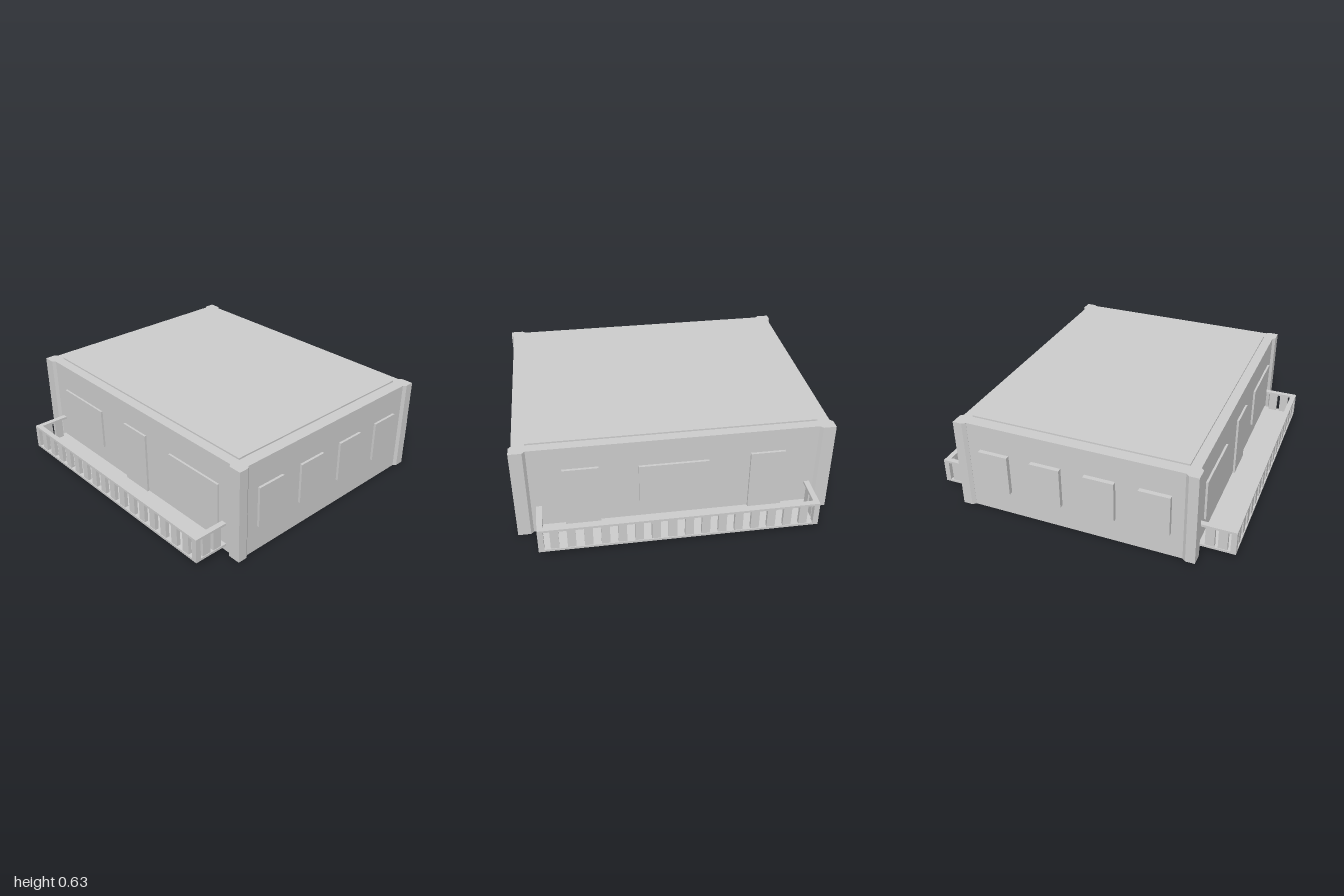
import * as THREE from 'three';

const material = new THREE.MeshStandardMaterial({ color: 0xcccccc, flatShading: true });

export function createModel() {
  const model = new THREE.Group();

  // Box given by its minimum and maximum on each axis
  function box(name, x0, x1, y0, y1, z0, z1, parent = model) {
    const mesh = new THREE.Mesh(new THREE.BoxGeometry(x1 - x0, y1 - y0, z1 - z0), material);
    mesh.name = name;
    mesh.position.set((x0 + x1) / 2, (y0 + y1) / 2, (z0 + z1) / 2);
    parent.add(mesh);
    return mesh;
  }

  // Main block and raised roof panel
  const X0 = -0.969, X1 = 0.975, Z = 0.768, H = 0.617;
  box('walls', X0, X1, 0, H, -Z, Z);
  box('roofPanel', -0.891, 0.896, H - 0.02, 0.627, -0.705, 0.703);

  // Corner pillars with chamfered returns into the walls
  for (const sx of [-1, 1]) {
    for (const sz of [-1, 1]) {
      const profile = [
        [0.989, 0.787], [0.908, 0.787], [0.891, 0.768], [0.891, 0.705],
        [0.972, 0.705], [0.989, 0.726],
      ].map(([x, z]) => new THREE.Vector2(sx * x + 0.002, -sz * z));
      const geometry = new THREE.ExtrudeGeometry(new THREE.Shape(profile), { depth: H, bevelEnabled: false });
      geometry.rotateX(-Math.PI / 2);
      const pillar = new THREE.Mesh(geometry, material);
      pillar.name = 'cornerPillar';
      model.add(pillar);
    }
  }

  // Front and back windows and doors, as shallow raised panels
  const sill = 0.17, windowTop = 0.442, doorTop = 0.463, floorTop = 0.052;
  const front = [Z - 0.02, 0.782], back = [-0.785, -Z + 0.02];
  box('frontWindow', -0.775, -0.342, sill, windowTop, ...front);
  box('frontWindow', 0.367, 0.805, sill, windowTop, ...front);
  box('frontDoor', -0.087, 0.135, floorTop, doorTop, ...front);
  box('backWindow', -0.205, 0.229, sill, windowTop, ...back);
  box('backDoor', -0.684, -0.466, floorTop, doorTop, ...back);
  box('backDoor', 0.472, 0.692, floorTop, doorTop, ...back);

  // Four windows along each side
  for (const z of [0.529, 0.18, -0.173, -0.525]) {
    box('rightWindow', -0.998, X0 + 0.02, sill, windowTop, z - 0.099, z + 0.099);
    box('leftWindow', X1 - 0.02, 0.991, sill, windowTop, z - 0.099, z + 0.099);
  }

  // Balcony with slatted railing, built at the front
  function balcony(name) {
    const group = new THREE.Group();
    group.name = name;
    const half = 0.864, rail = 0.035, low = 0.037, top = 0.2, under = 0.185;
    const slat = 0.052, inset = 0.005, thick = 0.025;
    box('floor', -half, half, low, floorTop, Z, 0.998, group);
    box('frontRail', -half, half, under, top, 0.998 - rail, 0.998, group);
    // Front slats
    for (let i = 0; i < 16; i++) {
      const x = -0.765 + i * 0.102;
      box('frontSlat', x - slat / 2, x + slat / 2, floorTop, under, 0.993 - thick, 0.998 - inset, group);
    }
    // Side rails, corner posts and side slats
    for (const s of [-1, 1]) {
      const a = s < 0 ? -half : half - rail;
      box('sideRail', a, a + rail, under, top, Z, 0.998 - rail, group);
      box('cornerPost', a, a + rail, floorTop, under, 0.998 - rail, 0.998, group);
      for (const z of [0.914, 0.834]) {
        box('sideSlat', a + inset, a + inset + thick, floorTop, under, z - 0.029, z + 0.029, group);
      }
    }
    model.add(group);
    return group;
  }
  balcony('frontBalcony');
  balcony('backBalcony').rotation.y = Math.PI;

  return model;
}
